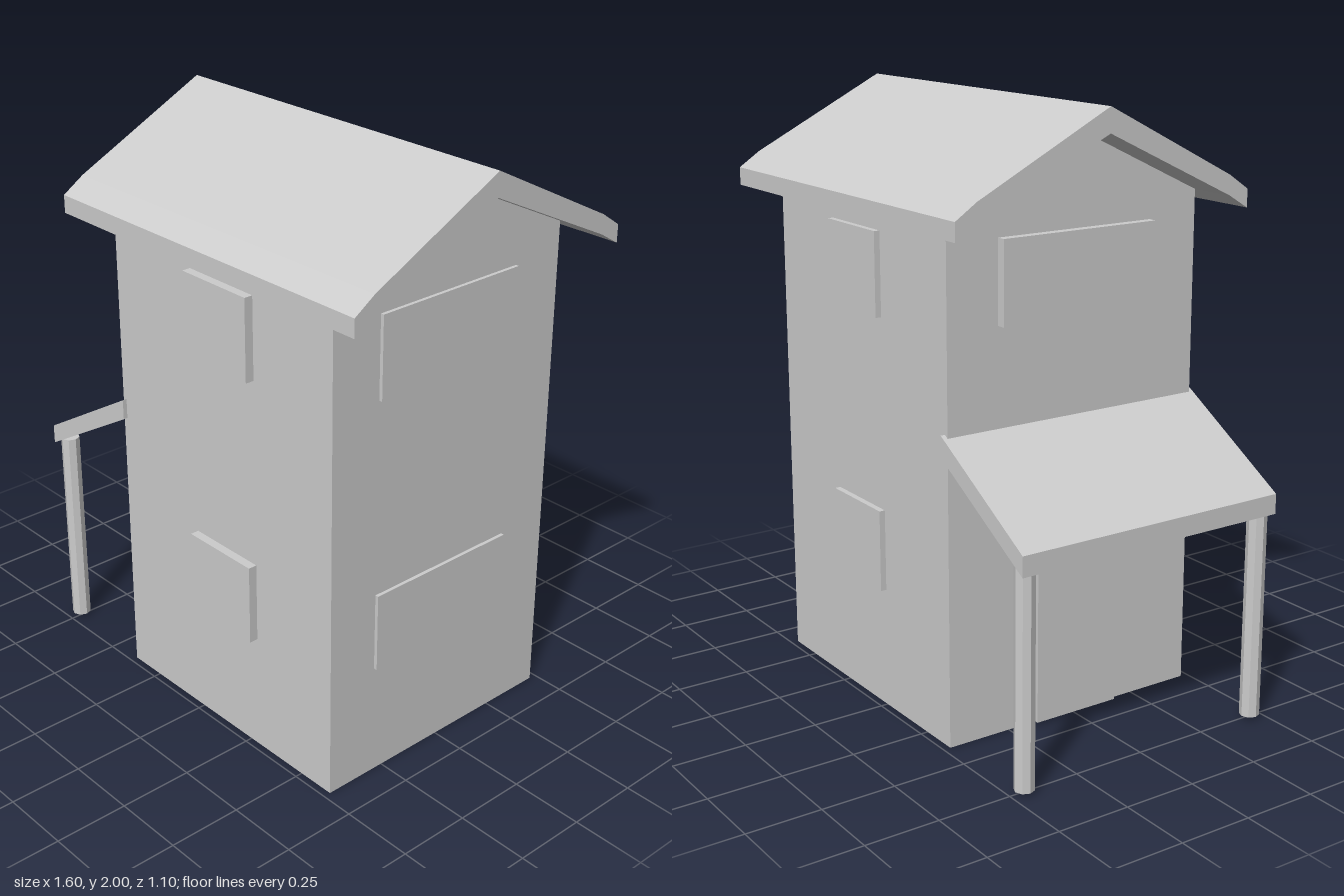
import * as THREE from 'three';

const material = new THREE.MeshStandardMaterial({ color: 0xcccccc, flatShading: true });

export function createModel() {
  const house = new THREE.Group();
  house.name = 'house';

  const add = (name, geometry) => {
    const mesh = new THREE.Mesh(geometry, material);
    mesh.name = name;
    house.add(mesh);
    return mesh;
  };

  // Box given by its min and max on each axis
  const box = (name, [x0, x1], [y0, y1], [z0, z1]) =>
    add(name, new THREE.BoxGeometry(x1 - x0, y1 - y0, z1 - z0))
      .position.set((x0 + x1) / 2, (y0 + y1) / 2, (z0 + z1) / 2);

  const extrude = (points, depth) => new THREE.ExtrudeGeometry(
    new THREE.Shape(points.map(([x, y]) => new THREE.Vector2(x, y))),
    { depth, bevelEnabled: false });

  // Extrude a gable profile, drawn as (z, y), along x
  const alongX = (name, points, x0, x1) =>
    add(name, extrude(points, x1 - x0).rotateY(Math.PI / 2).translate(x0, 0, 0));

  // Walls with gable ends
  alongX('walls', [[-0.475, 0], [0.475, 0], [0.475, 1.695], [0, 1.92], [-0.475, 1.695]], -0.385, 0.635);

  // Main roof, slightly kinked at the eaves
  alongX('roof', [
    [-0.55, 1.65], [-0.475, 1.695], [0, 1.92], [0.475, 1.695], [0.55, 1.65],
    [0.55, 1.71], [0.475, 1.76], [0, 2], [-0.475, 1.76], [-0.55, 1.71],
  ], -0.55, 0.8);

  // Front and back windows on both floors
  for (const y of [0.41, 1.325]) {
    box('frontWindow', [-0.005, 0.287], [y, y + 0.275], [0.465, 0.505]);
    box('backWindow', [-0.005, 0.287], [y, y + 0.275], [-0.495, -0.465]);
  }

  // Wide windows on the gable ends
  box('leftLowerWindow', [0.625, 0.647], [0.39, 0.66], [-0.28, 0.29]);
  box('leftUpperWindow', [0.625, 0.647], [1.325, 1.6], [-0.28, 0.29]);
  box('rightUpperWindow', [-0.415, -0.375], [1.345, 1.615], [-0.29, 0.29]);

  // Door under the porch
  box('door', [-0.415, -0.375], [0.01, 0.547], [-0.157, 0.157]);

  // Sloping porch roof
  add('porchRoof', extrude([[-0.8, 0.71], [-0.37, 0.96], [-0.37, 1.03], [-0.8, 0.777]], 0.98)
    .translate(0, 0, -0.49));

  // Porch posts
  for (const side of [1, -1]) {
    add('porchPost', new THREE.CylinderGeometry(0.033, 0.033, 0.725, 8))
      .position.set(-0.757, 0.375, side * 0.452);
  }

  return house;
}
